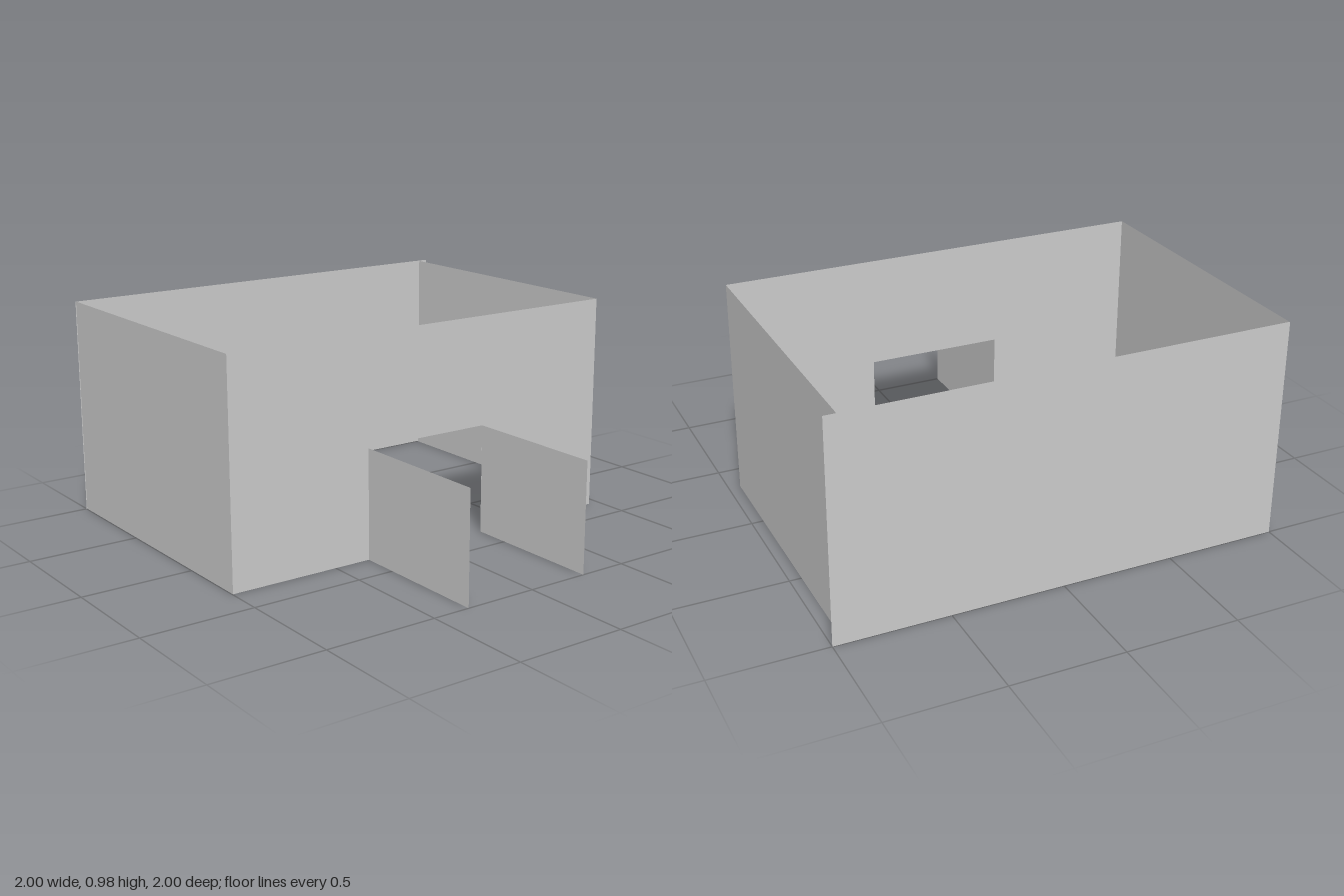
import * as THREE from 'three';

const HEIGHT = 0.984, DOOR_HEIGHT = 0.493;

export function createModel() {
  const group = new THREE.Group();
  const material = new THREE.MeshStandardMaterial({
    color: 0xcccccc, flatShading: true, side: THREE.DoubleSide,
  });

  // Upright sheet running from (x0, z0) to (x1, z1); door = [start, end] along its length
  function addWall(name, x0, z0, x1, z1, height, door) {
    const length = Math.hypot(x1 - x0, z1 - z0);
    const outline = [[0, 0]];
    if (door) {
      const [a, b] = door;
      outline.push([a, 0], [a, DOOR_HEIGHT], [b, DOOR_HEIGHT], [b, 0]);
    }
    outline.push([length, 0], [length, height], [0, height]);
    const shape = new THREE.Shape(outline.map(([x, y]) => new THREE.Vector2(x, y)));
    const wall = new THREE.Mesh(new THREE.ShapeGeometry(shape), material);
    wall.name = name;
    wall.position.set(x0, 0, z0);
    wall.rotation.y = -Math.atan2(z1 - z0, x1 - x0);
    group.add(wall);
  }

  // Open room: the plain side wall runs a little past the back wall
  addWall('frontWall', -1, 0.997, 0.33, 0.997, HEIGHT);
  addWall('rightWall', -1, 1, -1, -1, HEIGHT);
  addWall('backWall', -0.99, -0.947, 0.337, -0.947, HEIGHT);
  addWall('doorwayWall', 0.33, 0.997, 0.337, -0.947, HEIGHT, [0.667, 1.279]);

  // Low walls leading out from both sides of the doorway
  addWall('frontPassageWall', 0.332, 0.33, 1, 0.33, DOOR_HEIGHT);
  addWall('backPassageWall', 0.335, -0.282, 1, -0.282, DOOR_HEIGHT);

  return group;
}
